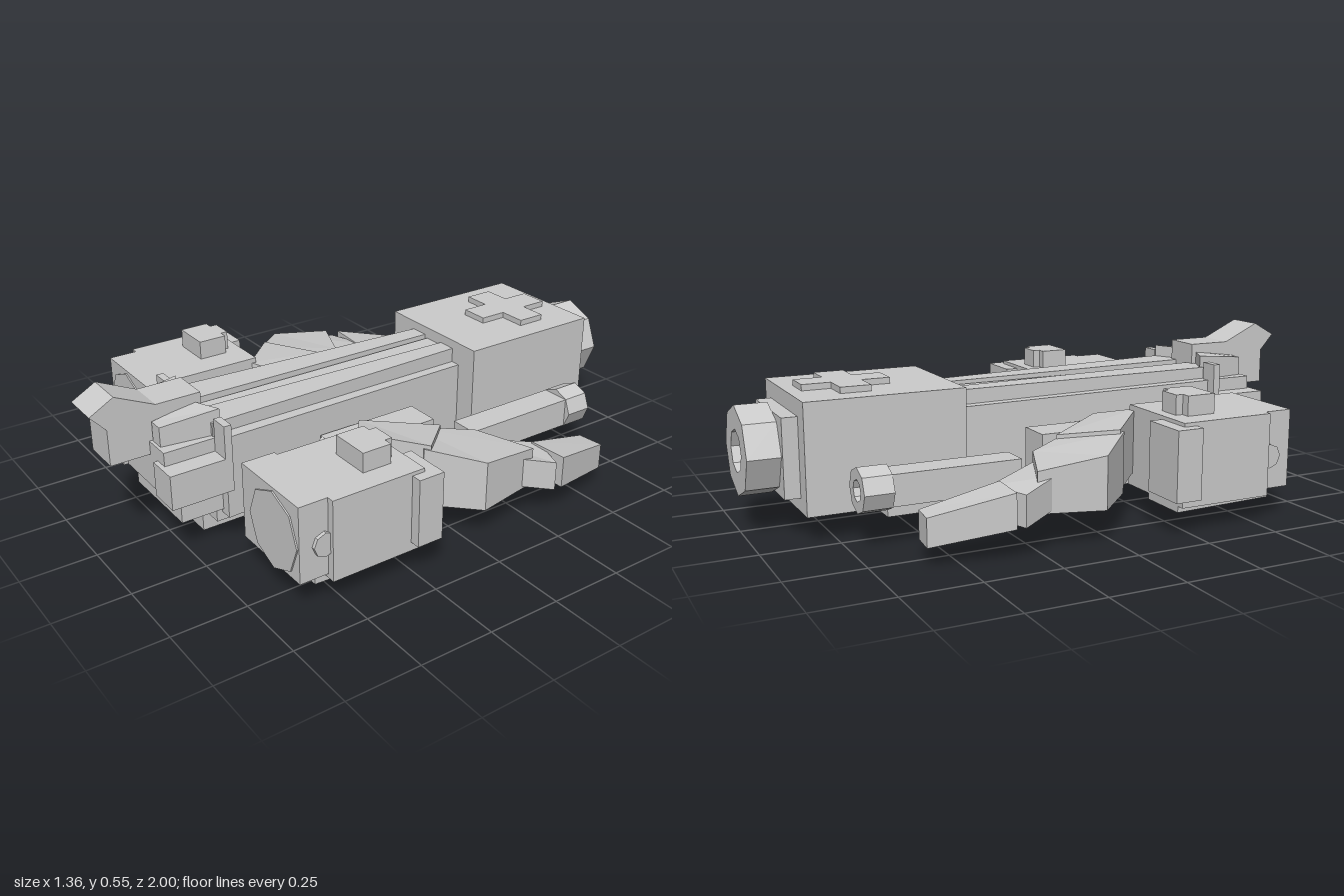
import * as THREE from 'three';

const mat = new THREE.MeshStandardMaterial({ color: 0xcccccc, flatShading: true });

export function createModel() {
  const root = new THREE.Group();

  function add(name, geo) {
    const mesh = new THREE.Mesh(geo, mat);
    mesh.name = name;
    root.add(mesh);
    return mesh;
  }

  // Box given by its extents
  function box(name, x0, x1, y0, y1, z0, z1) {
    const mesh = add(name, new THREE.BoxGeometry(Math.abs(x1 - x0), y1 - y0, z1 - z0));
    mesh.position.set((x0 + x1) / 2, (y0 + y1) / 2, (z0 + z1) / 2);
    return mesh;
  }

  // Convex plan outline; each corner is [x, z, bottom y, top y]
  function slab(name, corners, s = 1) {
    let c = corners.map(([x, z, lo, hi]) => [x * s, z, lo, hi]);
    let area = 0;
    c.forEach((p, i) => {
      const q = c[(i + 1) % c.length];
      area += p[0] * q[1] - q[0] * p[1];
    });
    if (area > 0) c.reverse();
    const lo = c.map(p => [p[0], p[2], p[1]]);
    const hi = c.map(p => [p[0], p[3], p[1]]);
    const v = [];
    const tri = (...pts) => pts.forEach(p => v.push(...p));
    for (let i = 0; i < c.length; i++) {
      const j = (i + 1) % c.length;
      tri(lo[i], lo[j], hi[j]);
      tri(lo[i], hi[j], hi[i]);
      if (i > 0 && j > 0) {
        tri(hi[0], hi[i], hi[j]);
        tri(lo[0], lo[j], lo[i]);
      }
    }
    const geo = new THREE.BufferGeometry();
    geo.setAttribute('position', new THREE.Float32BufferAttribute(v, 3));
    geo.computeVertexNormals();
    return add(name, geo);
  }

  // Beam that changes width and height along z
  const beam = (name, z0, z1, a, b, s = 1) => slab(name, [
    [a[0], z0, a[2], a[3]], [a[1], z0, a[2], a[3]],
    [b[1], z1, b[2], b[3]], [b[0], z1, b[2], b[3]]], s);

  // Octagonal ring nozzle with a vertex at the top
  function nozzle(name, x, y, z0, z1, r, hole) {
    const ring = rad => Array.from({ length: 8 }, (_, i) =>
      new THREE.Vector2(rad * Math.cos(i * Math.PI / 4), rad * Math.sin(i * Math.PI / 4)));
    const shape = new THREE.Shape(ring(r));
    shape.holes.push(new THREE.Path(ring(hole).reverse()));
    const geo = new THREE.ExtrudeGeometry(shape, { depth: z1 - z0, bevelEnabled: false });
    add(name, geo).position.set(x, y, z0);
  }

  // Rear hull with raised cross
  box('rearHull', -0.225, 0.225, 0.085, 0.44, -0.845, -0.32);
  const cross = new THREE.Shape([
    [-0.05, -0.145], [0.05, -0.145], [0.05, -0.05], [0.145, -0.05], [0.145, 0.05], [0.05, 0.05],
    [0.05, 0.145], [-0.05, 0.145], [-0.05, 0.05], [-0.145, 0.05], [-0.145, -0.05], [-0.05, -0.05],
  ].map(p => new THREE.Vector2(...p)));
  const crossGeo = new THREE.ExtrudeGeometry(cross, { depth: 0.03, bevelEnabled: false });
  crossGeo.rotateX(-Math.PI / 2);
  add('roofCross', crossGeo).position.set(0, 0.43, -0.655);

  // Main engine
  box('enginePlate', -0.16, 0.16, 0.13, 0.385, -0.895, -0.845);
  nozzle('mainNozzle', 0, 0.26, -1, -0.895, 0.145, 0.07);

  // Spine
  box('keel', -0.065, 0.065, 0, 0.1, -0.535, 0.66);
  box('lowerSpine', -0.12, 0.12, 0.07, 0.28, -0.32, 0.65);
  box('centreRail', -0.032, 0.032, 0.26, 0.4, -0.32, 0.65);

  // Nose and head
  box('chin', -0.155, 0.155, 0.115, 0.215, 0.55, 0.775);
  box('faceBlock', -0.16, 0.16, 0.215, 0.375, 0.6, 0.82);
  box('noseBase', -0.145, 0.145, 0.07, 0.12, 0.5, 0.65);
  const crest = new THREE.Shape([
    [0.64, 0.33], [0.95, 0.33], [0.95, 0.45], [1, 0.505], [0.92, 0.55], [0.79, 0.49], [0.64, 0.49],
  ].map(([z, y]) => new THREE.Vector2(-z, y)));
  const crestGeo = new THREE.ExtrudeGeometry(crest, { depth: 0.13, bevelEnabled: false });
  crestGeo.translate(0, 0, -0.065);
  crestGeo.rotateY(Math.PI / 2);
  add('headCrest', crestGeo);

  for (const s of [1, -1]) {
    const side = s > 0 ? 'left' : 'right';

    // Splayed rails along the spine
    beam(side + 'LowerRail', -0.32, 0.63, [0.1, 0.145, 0.1, 0.28], [0.12, 0.19, 0.1, 0.28], s);
    beam(side + 'OuterRail', -0.32, 0.63, [0.1, 0.145, 0.28, 0.36], [0.14, 0.19, 0.28, 0.38], s);
    beam(side + 'UpperRail', -0.32, 0.65, [0.045, 0.11, 0.27, 0.41], [0.035, 0.15, 0.27, 0.42], s);

    // Cheeks and brow wedges beside the crest
    box(side + 'Cheek', s * 0.115, s * 0.225, 0.215, 0.33, 0.625, 0.835);
    box(side + 'Temple', s * 0.16, s * 0.225, 0.33, 0.44, 0.625, 0.65);
    slab(side + 'Brow', [[0.06, 0.66, 0.37, 0.46], [0.145, 0.62, 0.37, 0.46],
      [0.12, 0.81, 0.37, 0.44], [0.07, 0.81, 0.37, 0.44]], s);

    // Rear side booster
    box(side + 'BoosterBody', s * 0.275, s * 0.375, 0.13, 0.23, -0.63, -0.2);
    nozzle(side + 'BoosterNozzle', s * 0.325, 0.18, -0.72, -0.625, 0.072, 0.035);

    // Shoulder
    box(side + 'Shoulder', s * 0.18, s * 0.3, 0.1, 0.28, -0.09, 0.28);
    slab(side + 'ShoulderTip', [[0.19, 0.28, 0.1, 0.28], [0.3, 0.24, 0.1, 0.28],
      [0.23, 0.33, 0.12, 0.26], [0.2, 0.32, 0.12, 0.26]], s);

    // Jointed claw arm
    slab(side + 'UpperArm', [[0.21, 0.15, 0.13, 0.31], [0.33, 0.24, 0.13, 0.34],
      [0.5, 0.08, 0.12, 0.32], [0.36, -0.07, 0.12, 0.29]], s);
    slab(side + 'Forearm', [[0.31, 0.02, 0.11, 0.29], [0.49, 0.1, 0.11, 0.31],
      [0.63, -0.04, 0.11, 0.28], [0.6, -0.26, 0.12, 0.25], [0.41, -0.18, 0.12, 0.26]], s);
    slab(side + 'Wrist', [[0.42, -0.18, 0.13, 0.23], [0.6, -0.2, 0.13, 0.23],
      [0.65, -0.32, 0.1, 0.2], [0.51, -0.37, 0.1, 0.2]], s);
    slab(side + 'Claw', [[0.51, -0.34, 0.1, 0.21], [0.65, -0.35, 0.1, 0.21],
      [0.58, -0.6, 0.06, 0.15], [0.49, -0.59, 0.06, 0.15]], s);

    // Front weapon pod
    box(side + 'PodBody', s * 0.325, s * 0.645, 0.085, 0.355, 0.22, 0.545);
    box(side + 'PodFront', s * 0.31, s * 0.62, 0.1, 0.355, 0.53, 0.643);
    box(side + 'PodFin', s * 0.52, s * 0.68, 0.115, 0.343, 0.175, 0.265);
    beam(side + 'PodBelly', 0.22, 0.58, [0.45, 0.62, 0.065, 0.11], [0.45, 0.6, 0.065, 0.11], s);
    const disc = new THREE.CylinderGeometry(0.13, 0.13, 0.03, 8);
    disc.rotateX(Math.PI / 2);
    add(side + 'PodMuzzle', disc).position.set(s * 0.485, 0.215, 0.633);
    const cap = new THREE.CylinderGeometry(0.04, 0.04, 0.02, 8);
    cap.rotateZ(Math.PI / 2);
    add(side + 'PodSideCap', cap).position.set(s * 0.622, 0.21, 0.56);
    box(side + 'PodHatch', s * 0.425, s * 0.565, 0.34, 0.42, 0.285, 0.385);
    box(side + 'PodHatchTail', s * 0.455, s * 0.535, 0.34, 0.42, 0.26, 0.285);
  }

  return root;
}
